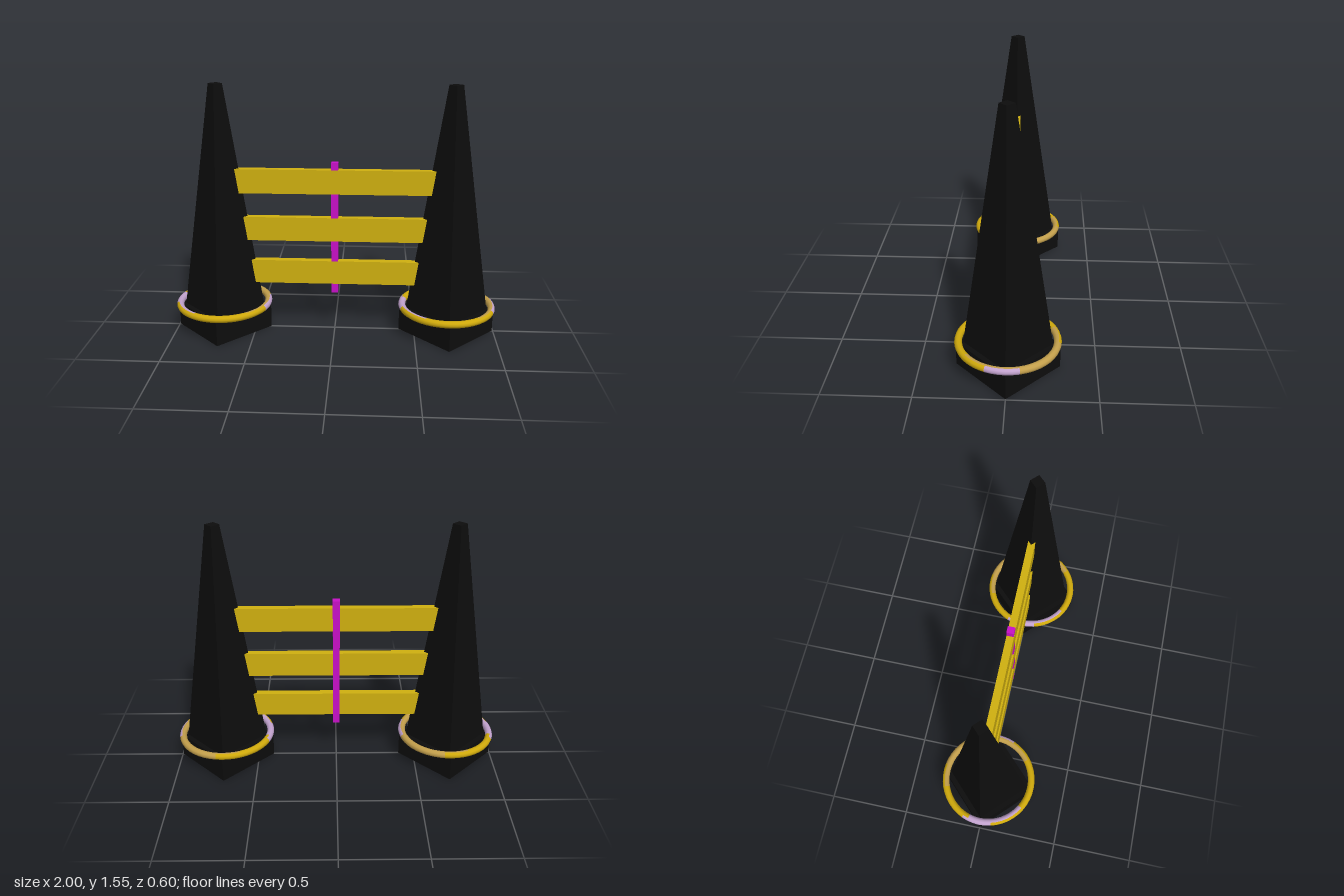
import * as THREE from 'three';

const flat = (name, color) => {
  const m = new THREE.MeshStandardMaterial({ color, flatShading: true });
  m.name = name;
  return m;
};

// Ring with gold, tan and lavender patches, lying flat
function ringGeometry(radius, tube) {
  const sides = 10, steps = 48;
  const geo = new THREE.TorusGeometry(radius, tube, sides, steps);
  geo.rotateX(Math.PI / 2);
  const patch = (turn, around) => {
    const a = turn > 240 ? turn - 360 : turn; // 0 = +x, 90 = front
    const outer = around < 55 || around > 305;
    if (outer) {
      if ((a > -12 && a < 24) || (a > 165 && a < 200)) return 2;
      return a > -85 && a < -12 ? 1 : 0;
    }
    if (a > 122 && a < 194) return 2;
    return a > -110 && a < 50 ? 1 : 0;
  };
  for (let j = 0; j < sides; j++) {
    for (let i = 0; i < steps; i++) {
      const m = patch((i + 0.5) * 360 / steps, (j + 0.5) * 360 / sides);
      const start = (j * steps + i) * 6;
      const last = geo.groups[geo.groups.length - 1];
      if (last && last.materialIndex === m) last.count += 6;
      else geo.addGroup(start, 6, m);
    }
  }
  return geo;
}

export function createModel() {
  const root = new THREE.Group();
  root.name = 'gateObstacle';

  const black = flat('black', 0x0d0d0d);
  const yellow = flat('yellow', 0xd0b010);
  const magenta = flat('magenta', 0xc810c8);
  const ringColours = [['gold', 0xd0aa0c], ['tan', 0xc4a04c], ['lavender', 0xc4a4d0]].map(([n, c]) => {
    const m = flat(n, c);
    m.flatShading = false;
    return m;
  });

  const add = (parent, name, geo, mat, x, y, z) => {
    const mesh = new THREE.Mesh(geo, mat);
    mesh.name = name;
    mesh.position.set(x, y, z);
    parent.add(mesh);
  };

  // Two tapered towers, each a four-sided spire on a block with a ring
  const block = new THREE.CylinderGeometry(0.294, 0.294, 0.15, 4);
  const spire = new THREE.CylinderGeometry(0.042, 0.251, 1.4, 4);
  const ring = ringGeometry(0.278, 0.022);
  for (const [side, x] of [['left', 0.7], ['right', -0.7]]) {
    const tower = new THREE.Group();
    tower.name = side + 'Tower';
    tower.position.x = x - Math.sign(x) * 0.0;
    add(tower, 'towerBase', block, black, 0, 0.075, 0);
    add(tower, 'towerSpire', spire, black, 0, 0.85, 0);
    add(tower, 'towerRing', ring, ringColours, 0, 0.171, 0);
    root.add(tower);
  }

  // Three planks running into the towers
  const plank = new THREE.BoxGeometry(1.3, 0.15, 0.044);
  [0.385, 0.665, 0.965].forEach((y) => add(root, 'plank', plank, yellow, 0, y, 0));

  // Upright joining the planks, just proud of them at the back
  add(root, 'centrePost', new THREE.BoxGeometry(0.042, 0.835, 0.044), magenta, 0, 0.6675, -0.001);

  return root;
}
